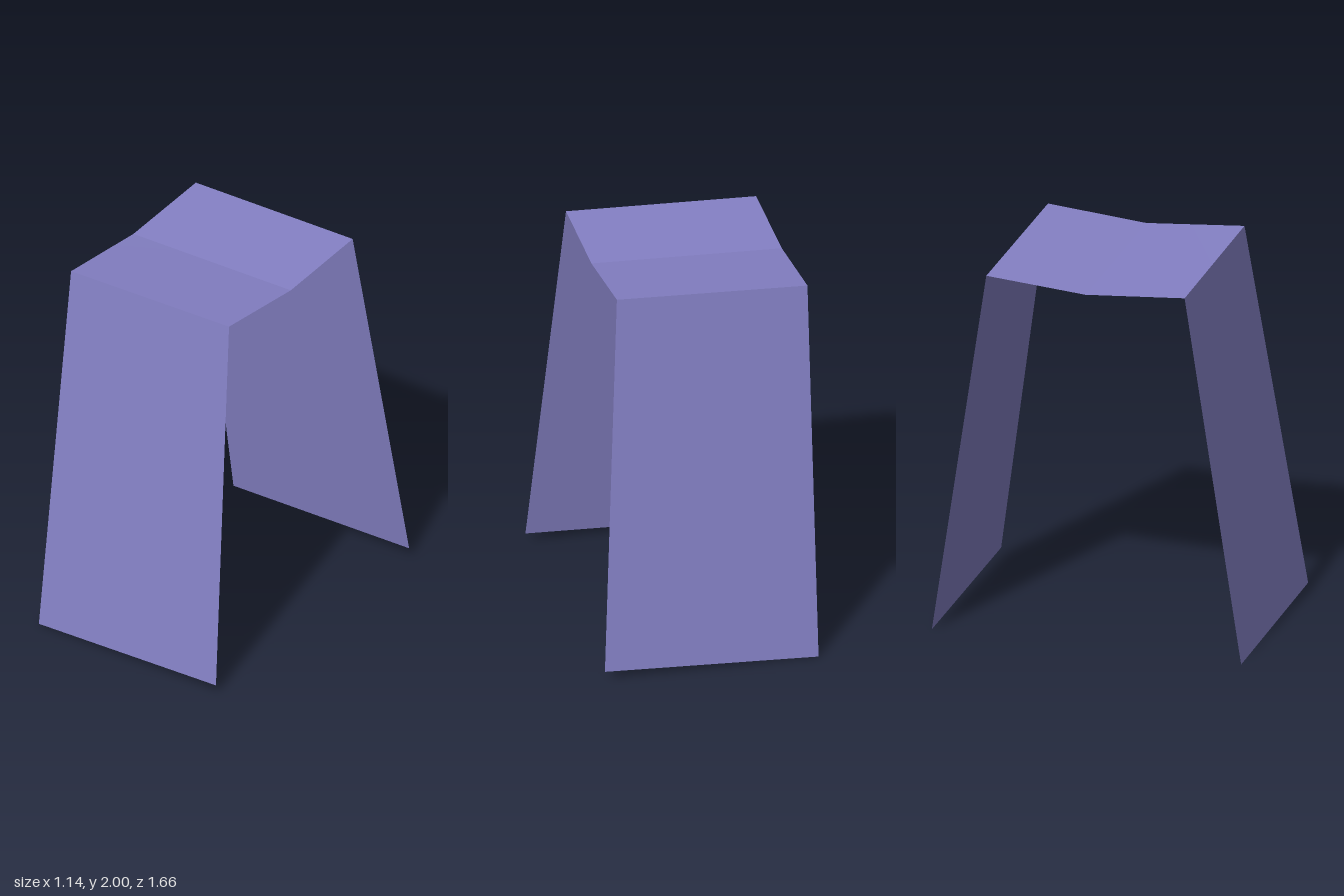
import * as THREE from 'three';

// Flat four-cornered panel: corners run counter-clockwise seen from outside
function panel(name, corners, material) {
  const geometry = new THREE.BufferGeometry();
  geometry.setAttribute('position', new THREE.Float32BufferAttribute(corners.flat(), 3));
  geometry.setIndex([0, 1, 2, 0, 2, 3]);
  geometry.computeVertexNormals();
  const mesh = new THREE.Mesh(geometry, material);
  mesh.name = name;
  return mesh;
}

export function createModel() {
  const violet = new THREE.MeshStandardMaterial({ color: 0x8480c4, side: THREE.DoubleSide });
  violet.name = 'violet';

  const model = new THREE.Group();
  model.name = 'stool';

  // Crease across the middle of the seat
  const creaseLeft = [0.43, 1.955, 0];
  const creaseRight = [-0.57, 1.92, 0];

  // Front and back halves mirror each other in z
  for (const [side, s] of [['front', 1], ['back', -1]]) {
    const topRight = [-0.57, 1.962, 0.531 * s];
    const topLeft = [0.43, 2, 0.526 * s];
    const footLeft = [0.568, 0.046, 0.822 * s];
    const footRight = [-0.553, 0, 0.828 * s];

    // Splayed leg panel and its half of the sagging seat
    const leg = [footRight, footLeft, topLeft, topRight];
    const seat = [topRight, topLeft, creaseLeft, creaseRight];
    if (s < 0) {
      leg.reverse();
      seat.reverse();
    }
    model.add(panel(side + 'Leg', leg, violet));
    model.add(panel(side + 'SeatHalf', seat, violet));
  }
  return model;
}
